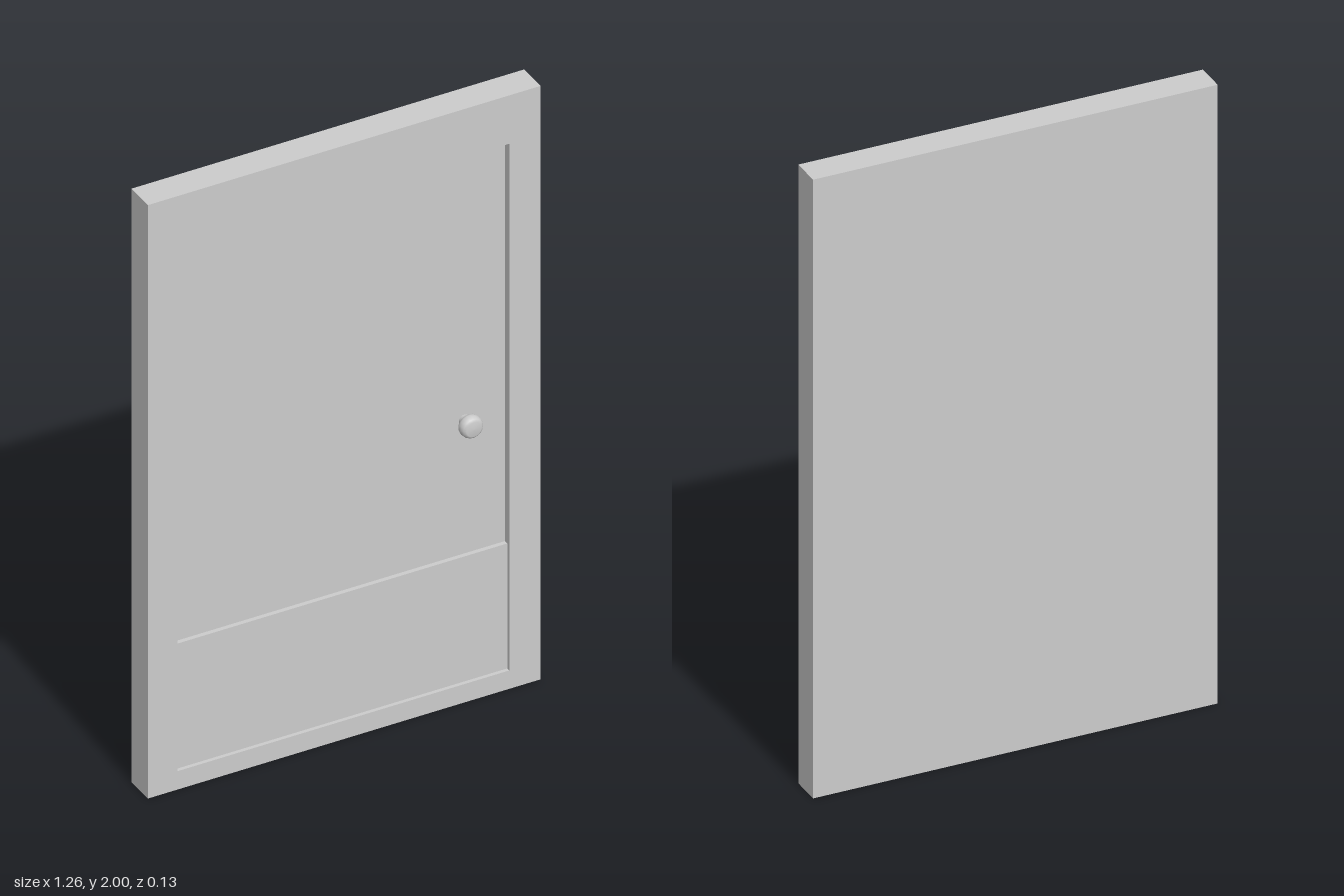
import * as THREE from 'three';

const BACK = -0.064, FRONT = 0.032;      // frame depth
const PANEL = 0.006, KICK = 0.02;        // recessed faces
const L = -0.535, R = 0.53, B = 0.062, T = 1.837; // opening

const material = new THREE.MeshStandardMaterial({ color: 0xcccccc });

function add(group, name, geometry) {
  const mesh = new THREE.Mesh(geometry, material);
  mesh.name = name;
  group.add(mesh);
  return mesh;
}

// Closed rectangle traced from its left, right, bottom and top limits
function rectangle(Type, l, r, b, t) {
  return new Type([[l, b], [r, b], [r, t], [l, t], [l, b]].map(([x, y]) => new THREE.Vector2(x, y)));
}

// Box filling the opening between two heights, up to the given front face
function slab(b, t, back, front) {
  return new THREE.BoxGeometry(R - L, t - b, front - back)
    .translate((L + R) / 2, (b + t) / 2, (back + front) / 2);
}

export function createModel() {
  const door = new THREE.Group();
  door.name = 'door';

  // Surround with the opening cut through
  const outline = rectangle(THREE.Shape, -0.63, 0.63, 0, 2);
  outline.holes.push(rectangle(THREE.Path, L, R, B, T));
  add(door, 'frame', new THREE.ExtrudeGeometry(outline, { depth: FRONT - BACK, bevelEnabled: false })
    .translate(0, 0, BACK));

  // Recessed leaf, flush with the frame at the back
  add(door, 'doorPanel', slab(B, T, BACK, PANEL));

  // Thicker plate along the bottom of the leaf
  add(door, 'kickPlate', slab(B, 0.483, PANEL, KICK));

  // Round knob on a short stem
  const profile = [[0.018, 0], [0.018, 0.018], [0.028, 0.02], [0.034, 0.026], [0.036, 0.034],
    [0.035, 0.044], [0.031, 0.052], [0.024, 0.057], [0, 0.058]];
  const knob = add(door, 'knob', new THREE.LatheGeometry(
    profile.map(([r, h]) => new THREE.Vector2(r, h)), 20));
  knob.rotation.x = Math.PI / 2;
  knob.position.set(0.4, 0.933, PANEL);

  return door;
}
